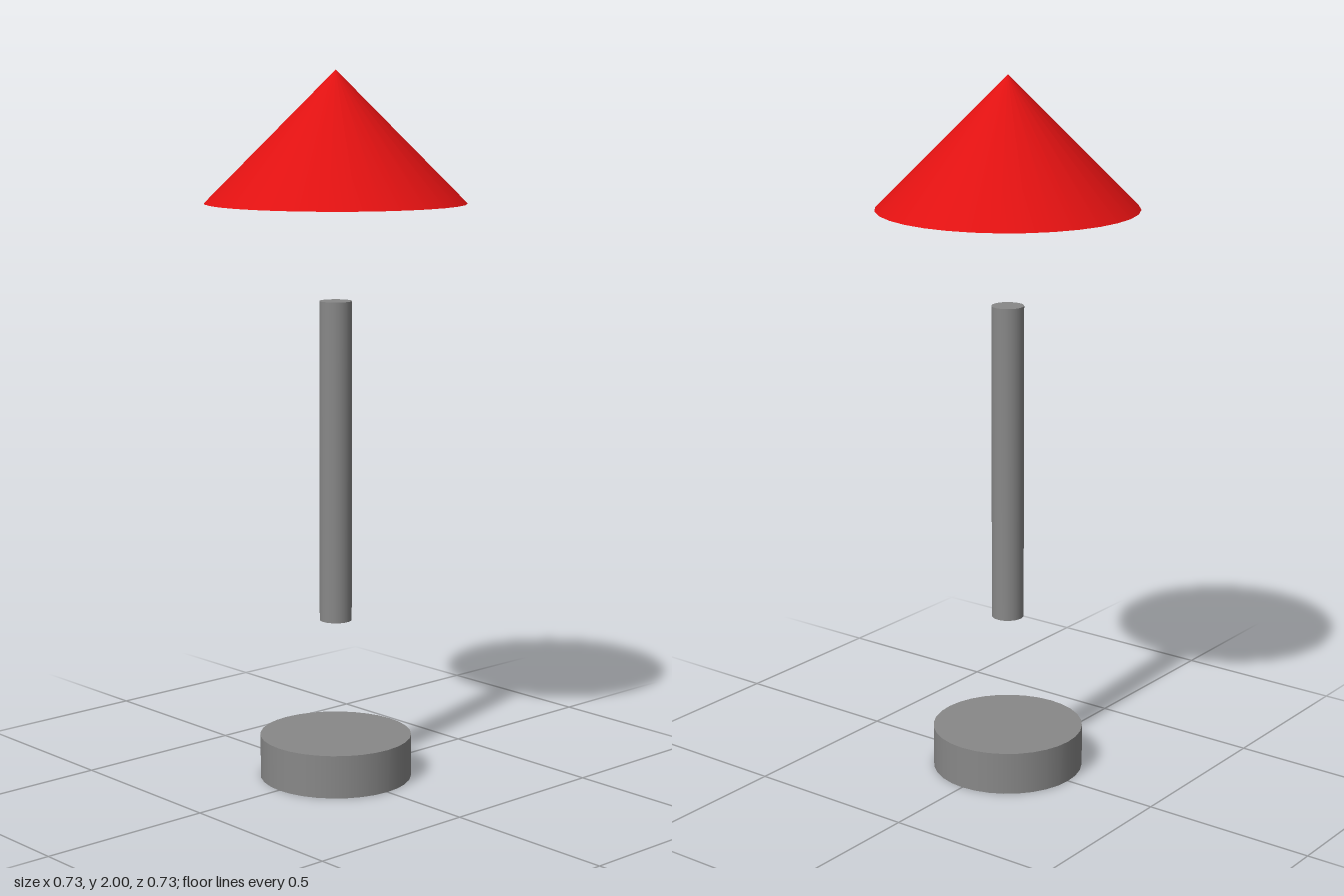
import * as THREE from 'three';

export function createModel() {
  const model = new THREE.Group();
  model.name = 'floatingMarker';

  const red = new THREE.MeshStandardMaterial({ color: 0xe01111 });
  red.name = 'red';
  const grey = new THREE.MeshStandardMaterial({ color: 0x888888 });
  grey.name = 'grey';

  // Adds an upright round part standing at the given height
  function addPart(name, geometry, material, bottom) {
    const mesh = new THREE.Mesh(geometry, material);
    mesh.name = name;
    mesh.position.y = bottom + geometry.parameters.height / 2;
    model.add(mesh);
  }

  // Flat disc base, separate pole and cone tip, with open gaps between
  addPart('base', new THREE.CylinderGeometry(0.216, 0.216, 0.122, 32), grey, 0);
  addPart('pole', new THREE.CylinderGeometry(0.0455, 0.0455, 0.909, 32), grey, 0.457);
  addPart('coneTip', new THREE.ConeGeometry(0.3636, 0.3636, 32), red, 1.6364);

  return model;
}
